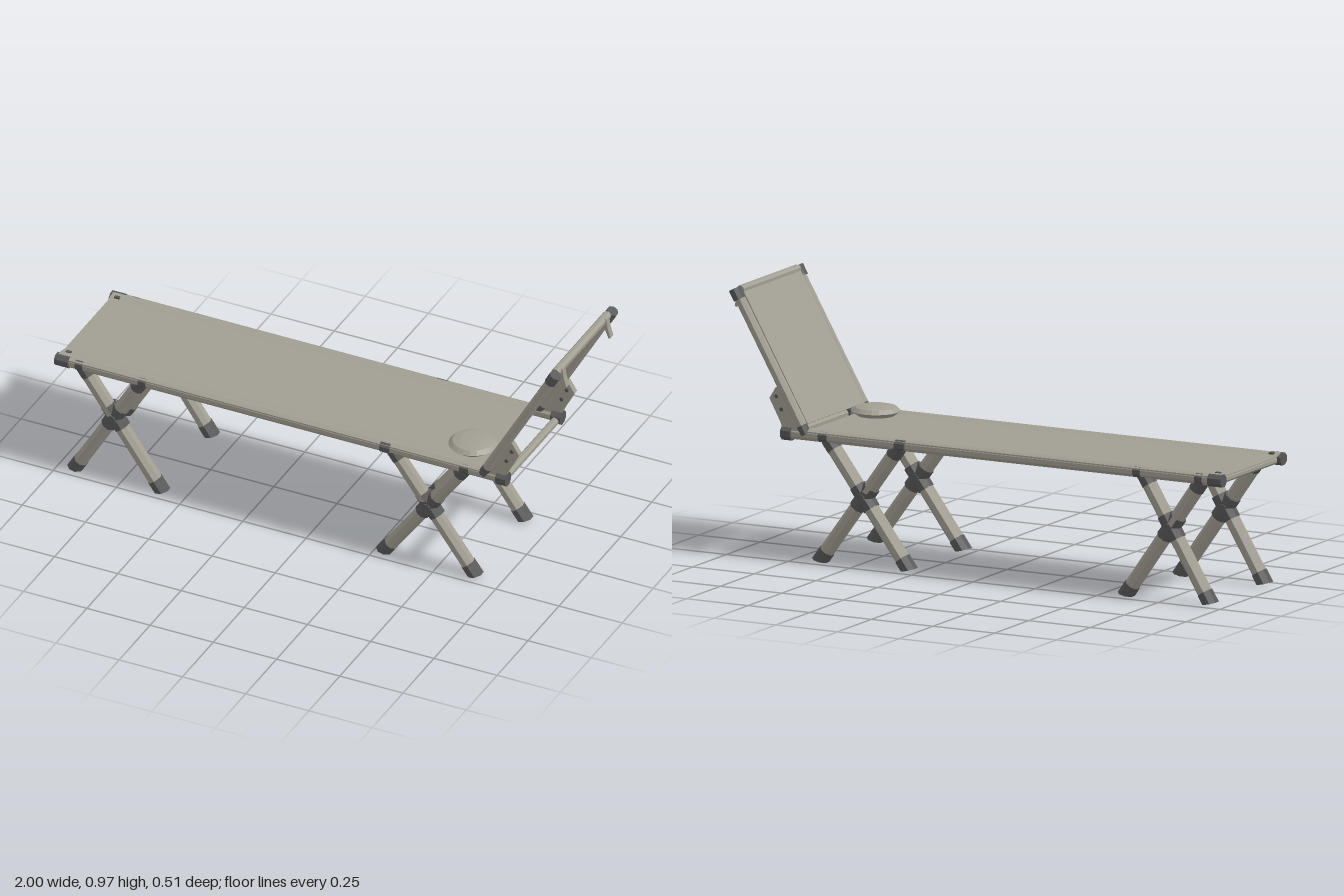
import * as THREE from 'three';

const mat = (name, color, extra = {}) =>
  Object.assign(new THREE.MeshStandardMaterial({ color, flatShading: true, ...extra }), { name });

export function createModel() {
  const model = new THREE.Group();
  model.name = 'campCot';
  const fabric = mat('canvas', 0xa19e93, { side: THREE.DoubleSide });
  const frame = mat('framePaint', 0xa09d90);
  const dark = mat('darkPlastic', 0x585858);
  const V = (x, y, z) => new THREE.Vector3(x, y, z);
  const shape = pts => new THREE.Shape(pts.map(q => new THREE.Vector2(...q)));
  const up = V(0, 1, 0);

  const add = (parent, name, geometry, material) => {
    const mesh = new THREE.Mesh(geometry, material);
    mesh.name = name;
    parent.add(mesh);
    return mesh;
  };

  // Octagonal tube between two points: w is in the side plane, d across it
  const bar = (parent, name, a, b, w, d, material) => {
    const dir = b.clone().sub(a);
    const r = 0.5 / Math.cos(Math.PI / 8);
    const g = new THREE.CylinderGeometry(r, r, dir.length(), 8).rotateY(Math.PI / 8).scale(w, 1, d);
    const mesh = add(parent, name, g, material);
    mesh.position.copy(a).lerp(b, 0.5);
    mesh.quaternion.setFromUnitVectors(up, dir.normalize());
    return mesh;
  };

  // One leg with a dark foot, cut nearly level, and a dark top socket
  const leg = (parent, a, b) => {
    const at = t => a.clone().lerp(b, t);
    bar(parent, 'leg', at(0.06), at(0.97), 0.049, 0.055, frame);
    bar(parent, 'legSocket', at(0.92), b, 0.052, 0.058, dark);
    const p = bar(parent, 'foot', a, at(0.085), 0.053, 0.061, dark).geometry.attributes.position;
    const slope = 0.55 * (b.x - a.x) / (b.y - a.y);
    for (let i = 0; i < p.count; i++)
      if (p.getY(i) < 0) p.setY(i, p.getY(i) + p.getX(i) * slope);
  };

  // Both long sides: rail, joints, crossed legs, backrest upright and bracket
  for (const s of [1, -1]) {
    const side = new THREE.Group();
    side.name = s > 0 ? 'leftSide' : 'rightSide';
    model.add(side);
    const z = 0.222 * s;
    bar(side, 'sideRail', V(-0.97, 0.46, z), V(0.76, 0.46, z), 0.038, 0.034, frame);
    for (const [x0, x1, h, d] of [[-1, -0.945, 0.044, 0.046], [-0.92, -0.89, 0.04, 0.038],
      [-0.67, -0.64, 0.038, 0.04], [0.285, 0.325, 0.04, 0.046], [0.6, 0.635, 0.038, 0.038],
      [0.745, 0.785, 0.05, 0.05]])
      bar(side, 'railJoint', V(x0, 0.46, z), V(x1, 0.46, z), h, d, dark);

    // Crossed legs with a sleeved pivot
    for (const [x0, x1, t0, t1] of [[-0.935, -0.594, -0.905, -0.669], [0.286, 0.645, 0.322, 0.612]]) {
      const cross = new THREE.Group();
      cross.name = 'crossedLegs';
      side.add(cross);
      leg(cross, V(x0, 0.007, 0.2 * s), V(t1, 0.45, 0.203 * s));
      leg(cross, V(x1, 0.007, 0.201 * s), V(t0, 0.45, 0.206 * s));
      const k = (x1 - x0) / (x1 - x0 + t1 - t0);
      const c = V(x0 + (t1 - x0) * k, 0.007 + 0.443 * k, 0.2 * s);
      for (const [tx, bx] of [[t1, x0], [t0, x1]]) {
        const d = V(tx - bx, 0.443, 0).normalize().multiplyScalar(0.049);
        bar(cross, 'pivotSleeve', c.clone().sub(d), c.clone().add(d), 0.057, 0.063, dark);
      }
      bar(cross, 'pivotBolt', c.clone().setZ(0.164 * s), c.clone().setZ(0.237 * s), 0.03, 0.03, dark);
    }

    // Backrest upright
    const zu = 0.226 * s;
    bar(side, 'backUpright', V(0.7, 0.48, zu), V(0.97, 0.95, zu), 0.035, 0.036, frame);
    bar(side, 'uprightCap', V(0.957, 0.927, 0.231 * s), V(0.977, 0.963, 0.231 * s), 0.04, 0.046, dark);
    bar(side, 'uprightSocket', V(0.69, 0.462, zu), V(0.707, 0.492, zu), 0.036, 0.038, dark);

    // Hinge bracket plate with bolts
    const plate = shape([[0.7, 0.46], [0.775, 0.46], [0.79, 0.5], [0.834, 0.582], [0.808, 0.624], [0.788, 0.622]]);
    add(side, 'hingeBracket', new THREE.ExtrudeGeometry(plate, { depth: 0.022, bevelEnabled: false }),
      frame).position.z = 0.224 * s - 0.011;
    for (const [x, y] of [[0.785, 0.545], [0.806, 0.59]])
      bar(side, 'bracketBolt', V(x, y, z - 0.015), V(x, y, z + 0.015), 0.014, 0.014, dark);

    // Strap hook hanging behind the top bar
    const hook = shape([[0.962, 0.972], [0.984, 0.965], [0.989, 0.93], [1, 0.892],
      [0.993, 0.888], [0.977, 0.925], [0.962, 0.945]]);
    add(side, 'strapHook', new THREE.ExtrudeGeometry(hook, { depth: 0.024, bevelEnabled: false }),
      frame).position.z = 0.178 * s - 0.012;

    // Corner clip at the foot end
    add(side, 'cornerClip', new THREE.BoxGeometry(0.02, 0.012, 0.012), dark)
      .position.set(-0.965, 0.479, 0.197 * s);
  }

  // Cross bars
  bar(model, 'footBar', V(-0.972, 0.457, -0.21), V(-0.972, 0.457, 0.21), 0.028, 0.028, frame);
  bar(model, 'headBar', V(0.765, 0.453, -0.21), V(0.765, 0.453, 0.21), 0.028, 0.03, frame);
  bar(model, 'backTopBar', V(0.966, 0.956, -0.21), V(0.966, 0.956, 0.21), 0.03, 0.03, fabric);

  // Bed canvas: flat between the rails, rising over them and turning down outside
  const bed = new THREE.BoxGeometry(1.68, 0.005, 0.476, 1, 1, 28);
  const p = bed.attributes.position;
  for (let i = 0; i < p.count; i++) {
    const v = Math.abs(p.getZ(i));
    const rise = 0.009 * THREE.MathUtils.smoothstep(v, 0.17, 0.21);
    p.setY(i, p.getY(i) + rise - 0.5 * Math.max(0, v - 0.222));
  }
  bed.computeVertexNormals();
  add(model, 'bedCanvas', bed, fabric).position.set(-0.152, 0.4715, 0);

  // Backrest canvas, near the front of the uprights
  const a = V(0.696, 0.496, 0), b = V(0.959, 0.957, 0);
  const back = add(model, 'backCanvas', new THREE.BoxGeometry(0.008, a.distanceTo(b), 0.42), fabric);
  back.position.copy(a).lerp(b, 0.5);
  back.quaternion.setFromUnitVectors(up, b.clone().sub(a).normalize());

  // Round cushion
  const cushion = new THREE.LatheGeometry([[0, -0.018], [0.068, -0.016], [0.088, 0], [0.074, 0.014],
    [0.045, 0.021], [0, 0.024]].map(q => new THREE.Vector2(...q)), 20);
  add(model, 'cushion', cushion, fabric).position.set(0.594, 0.497, 0.115);

  return model;
}
